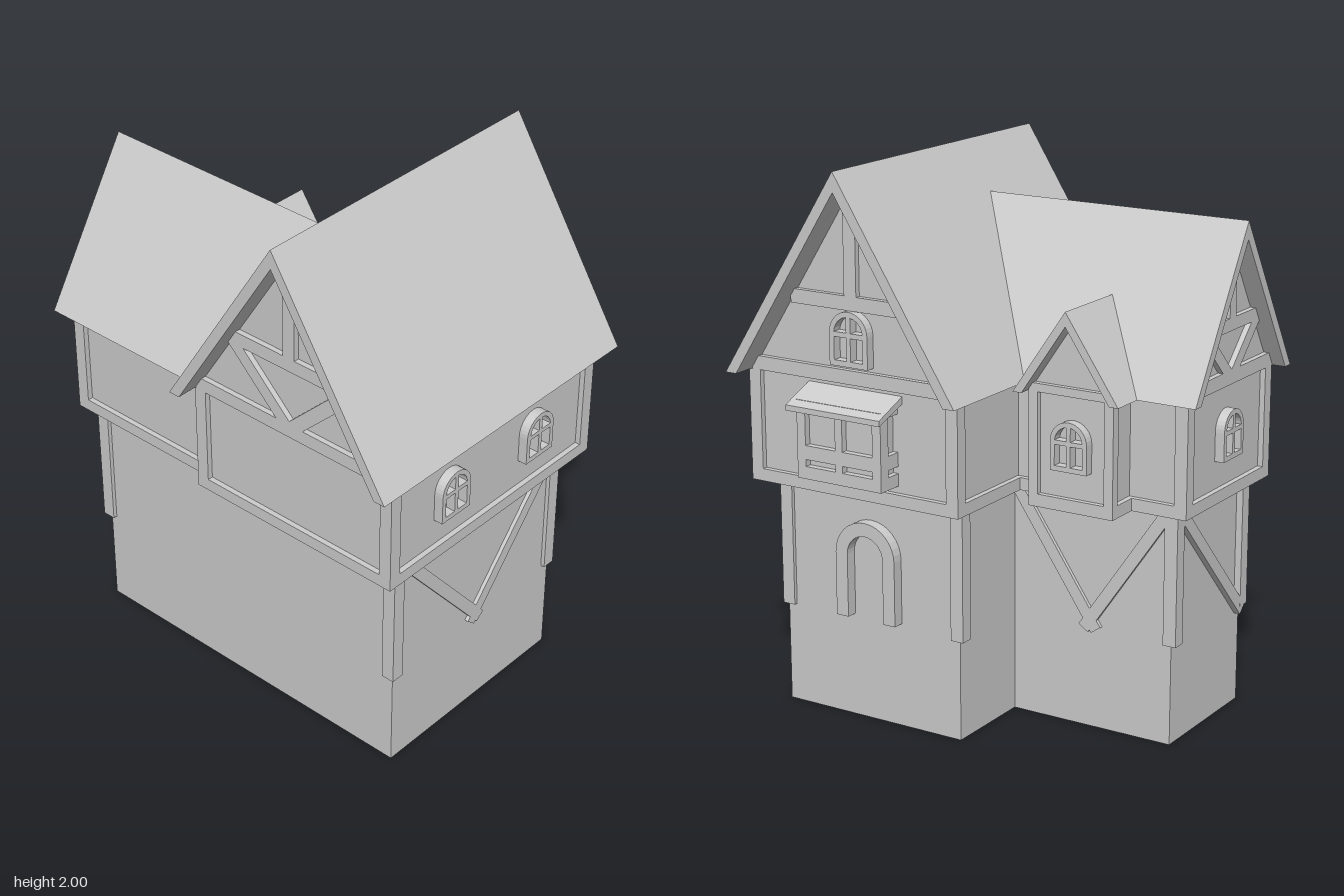
import * as THREE from 'three';

const mat = new THREE.MeshStandardMaterial({ color: 0xcccccc, flatShading: true });
const EAVE = 1.255, FLOOR = 0.85, T = 0.05; // T = timber width
const RIGHT = Math.PI / 2, BACK = Math.PI, LEFT = -Math.PI / 2;

function add(parent, name, geo) {
  const m = new THREE.Mesh(geo, mat);
  m.name = name;
  parent.add(m);
  return m;
}

// Box given by its limits on each axis
function box(parent, name, x0, x1, y0, y1, z0, z1) {
  const m = add(parent, name, new THREE.BoxGeometry(x1 - x0, y1 - y0, z1 - z0));
  m.position.set((x0 + x1) / 2, (y0 + y1) / 2, (z0 + z1) / 2);
  return m;
}

function poly(pts, Type = THREE.Shape) {
  return new Type(pts.map(p => new THREE.Vector2(p[0], p[1])));
}

function extrude(parent, name, shape, z0, z1) {
  const geo = new THREE.ExtrudeGeometry(shape, { depth: z1 - z0, bevelEnabled: false, curveSegments: 8 });
  return add(parent, name, geo.translate(0, 0, z0));
}

// Group whose local +z points out of a wall
function facing(parent, name, x, y, z, angle) {
  const g = new THREE.Group();
  g.name = name;
  g.position.set(x, y, z);
  g.rotation.y = angle;
  parent.add(g);
  return g;
}

// Straight timber from a to b in the local xy plane
function beam(parent, name, a, b, w, z0, z1) {
  const dx = b[0] - a[0], dy = b[1] - a[1];
  const m = add(parent, name, new THREE.BoxGeometry(Math.hypot(dx, dy), w, z1 - z0));
  m.position.set((a[0] + b[0]) / 2, (a[1] + b[1]) / 2, (z0 + z1) / 2);
  m.rotation.z = Math.atan2(dy, dx);
}

// Recessed wall with a sill plate and corner posts standing proud
function storey(parent, name, x0, x1, z0, z1, t) {
  const g = facing(parent, name, 0, 0, 0, 0), r = 0.02;
  box(g, 'wallPanel', x0 + r, x1 - r, FLOOR + 0.01, EAVE, z0 + r, z1 - r);
  box(g, 'sillPlate', x0, x1, FLOOR, FLOOR + 0.045, z0, z1);
  for (const x of [x0, x1 - t]) for (const z of [z0, z1 - t])
    box(g, 'cornerPost', x, x + t, FLOOR + 0.045, EAVE, z, z + t);
}

// Chevron roof along local z with a solid gable inside
function roof(g, half, rise, thick, z0, z1, wall0, wall1) {
  const hi = half - thick, ri = rise * hi / half;
  extrude(g, 'roofSlopes', poly([[-half, 0], [-hi, 0], [0, ri], [hi, 0], [half, 0], [0, rise]]), z0, z1);
  extrude(g, 'gableWall', poly([[-hi, 0], [hi, 0], [0, ri]]), wall0, wall1);
}

// Gable timbers, s scales the pattern
function gableTimbers(g, s, z, braces) {
  const z0 = z - 0.025, z1 = z, w = T * (s < 1 ? 0.9 : 1);
  beam(g, 'tieBeam', [-0.425 * s, 0.025], [0.425 * s, 0.025], T, z0, z1);
  beam(g, 'collarBeam', [-0.25 * s, 0.283 * s], [0.25 * s, 0.283 * s], w, z0, z1);
  beam(g, 'kingPost', [0, 0.283 * s], [0, 0.67 * s], w, z0, z1);
  if (braces) for (const k of [-1, 1])
    beam(g, 'gableBrace', [k * 0.26 * s, 0.28 * s], [0, 0.028 * s], w, z0, z1);
}

// Arched window with four panes, standing on local y = 0
function archedWindow(parent, x, y, z, angle, s = 1) {
  const g = facing(parent, 'archedWindow', x, y, z, angle);
  g.scale.set(s, s, 1);
  const R = 0.0715, c = 0.1035, r = 0.054, b = 0.008;
  const sh = new THREE.Shape();
  sh.moveTo(-R, 0).lineTo(R, 0).lineTo(R, c).absarc(0, c, R, 0, Math.PI, false).closePath();
  for (const k of [-1, 1]) {
    sh.holes.push(poly([[k * b, 0.018], [k * r, 0.018], [k * r, 0.092], [k * b, 0.092]], THREE.Path));
    const pane = [[k * b, 0.108]];
    for (let i = 0; i <= 6; i++) {
      const a = 0.085 + i / 6 * (1.42 - 0.085);
      pane.push([k * r * Math.cos(a), c + r * Math.sin(a)]);
    }
    sh.holes.push(poly(pane, THREE.Path));
  }
  extrude(g, 'windowFrame', sh, -0.03, 0.015);
}

export function createModel() {
  const house = new THREE.Group();
  house.name = 'timberHouse';

  // Ground floor, L-shaped footprint
  const plan = poly([[-0.68, -0.445], [0.695, -0.445], [0.695, 0.413], [-0.045, 0.413], [-0.045, 0.06], [-0.68, 0.06]]);
  extrude(house, 'groundFloor', plan, 0, FLOOR + 0.005).rotation.x = -Math.PI / 2;

  // Corner posts under the jetty
  for (const [x, z] of [[-0.68, 0.435], [0.685, 0.435], [0.685, -0.402], [-0.04, -0.402], [-0.68, -0.05]])
    box(house, 'lowerPost', x - 0.025, x + 0.025, 0.37, FLOOR + 0.01, z - 0.025, z + 0.025);

  // Braces on the lower walls
  const rightWall = facing(house, 'rightBraces', 0.695, 0, 0.015, RIGHT);
  const backWall = facing(house, 'wingBackBraces', -0.362, 0, -0.06, BACK);
  for (const k of [-1, 1]) {
    beam(rightWall, 'brace', [k * 0.395, 0.86], [-k * 0.025, 0.37], 0.045, -0.01, 0.014);
    beam(backWall, 'brace', [k * 0.31, 0.86], [-k * 0.025, 0.37], 0.045, -0.01, 0.014);
  }
  const endWall = facing(house, 'wingEndBrace', -0.68, 0, 0, LEFT);
  beam(endWall, 'brace', [-0.05, 0.86], [0.43, 0.355], 0.045, -0.01, 0.024);

  // Upper floors
  storey(house, 'mainUpperFloor', -0.105, 0.765, -0.513, 0.55, 0.048);
  storey(house, 'wingUpperFloor', -0.76, 0, -0.12, 0.495, 0.048);
  storey(house, 'dormerWalls', -0.55, -0.22, -0.25, -0.05, 0.035);

  // Main roof and its two gables
  const main = facing(house, 'mainRoof', 0.325, EAVE, 0, 0);
  roof(main, 0.475, 0.745, 0.045, -0.6, 0.627, -0.493, 0.53);
  gableTimbers(main, 1, 0.55, true);
  gableTimbers(facing(main, 'backGable', 0, 0, 0, BACK), 1, 0.513, false);

  // Wing roof, ridge running into the main roof
  const wing = facing(house, 'wingRoof', 0, EAVE, 0.1875, LEFT);
  roof(wing, 0.3525, 0.57, 0.04, -0.24, 0.81, -0.2, 0.74);
  gableTimbers(wing, 0.745, 0.76, true);

  // Dormer roof
  const dormer = facing(house, 'dormerRoof', -0.385, EAVE, 0, BACK);
  roof(dormer, 0.205, 0.3, 0.035, -0.04, 0.29, -0.02, 0.23);
  beam(dormer, 'tieBeam', [-0.165, 0.015], [0.165, 0.015], 0.03, 0.22, 0.25);

  // Arched windows
  archedWindow(house, 0.765, 0.995, 0.238, RIGHT);
  archedWindow(house, 0.765, 0.995, -0.206, RIGHT);
  archedWindow(house, -0.76, 0.995, 0.1875, LEFT);
  archedWindow(house, -0.385, 0.995, -0.25, BACK);
  archedWindow(house, 0.325, 1.32, -0.513, BACK, 1.1);

  // Bay window on the back
  const bay = facing(house, 'bayWindow', 0.325, 0, 0, BACK);
  box(bay, 'bayCore', -0.155, 0.155, 0.925, 1.2, 0.48, 0.57);
  const front = poly([[-0.175, 0.92], [0.175, 0.92], [0.175, 1.2], [-0.175, 1.2]]);
  for (const [x0, x1] of [[-0.14, -0.015], [0.015, 0.14]])
    for (const [y0, y1] of [[0.965, 0.99], [1.04, 1.175]])
      front.holes.push(poly([[x0, y0], [x0, y1], [x1, y1], [x1, y0]], THREE.Path));
  extrude(bay, 'bayFrame', front, 0.55, 0.595);
  for (const [y0, y1] of [[0.92, 0.965], [0.99, 1.04], [1.175, 1.2]])
    box(bay, 'bayRail', -0.175, 0.175, y0, y1, 0.49, 0.555);
  const canopy = poly([[-0.49, 1.215], [-0.49, 1.24], [-0.63, 1.185], [-0.63, 1.165]]);
  extrude(bay, 'bayCanopy', canopy, -0.195, 0.195).rotation.y = RIGHT;

  // Door surround on the back
  const door = facing(house, 'doorSurround', 0.325, 0, -0.413, BACK);
  const arch = new THREE.Shape();
  arch.moveTo(0.075, 0.385).lineTo(0.125, 0.385).lineTo(0.125, 0.62);
  arch.absarc(0, 0.62, 0.125, 0, Math.PI, false);
  arch.lineTo(-0.125, 0.385).lineTo(-0.075, 0.385).lineTo(-0.075, 0.62);
  arch.absarc(0, 0.62, 0.075, Math.PI, 0, true);
  extrude(door, 'doorArch', arch, -0.01, 0.043);

  return house;
}
